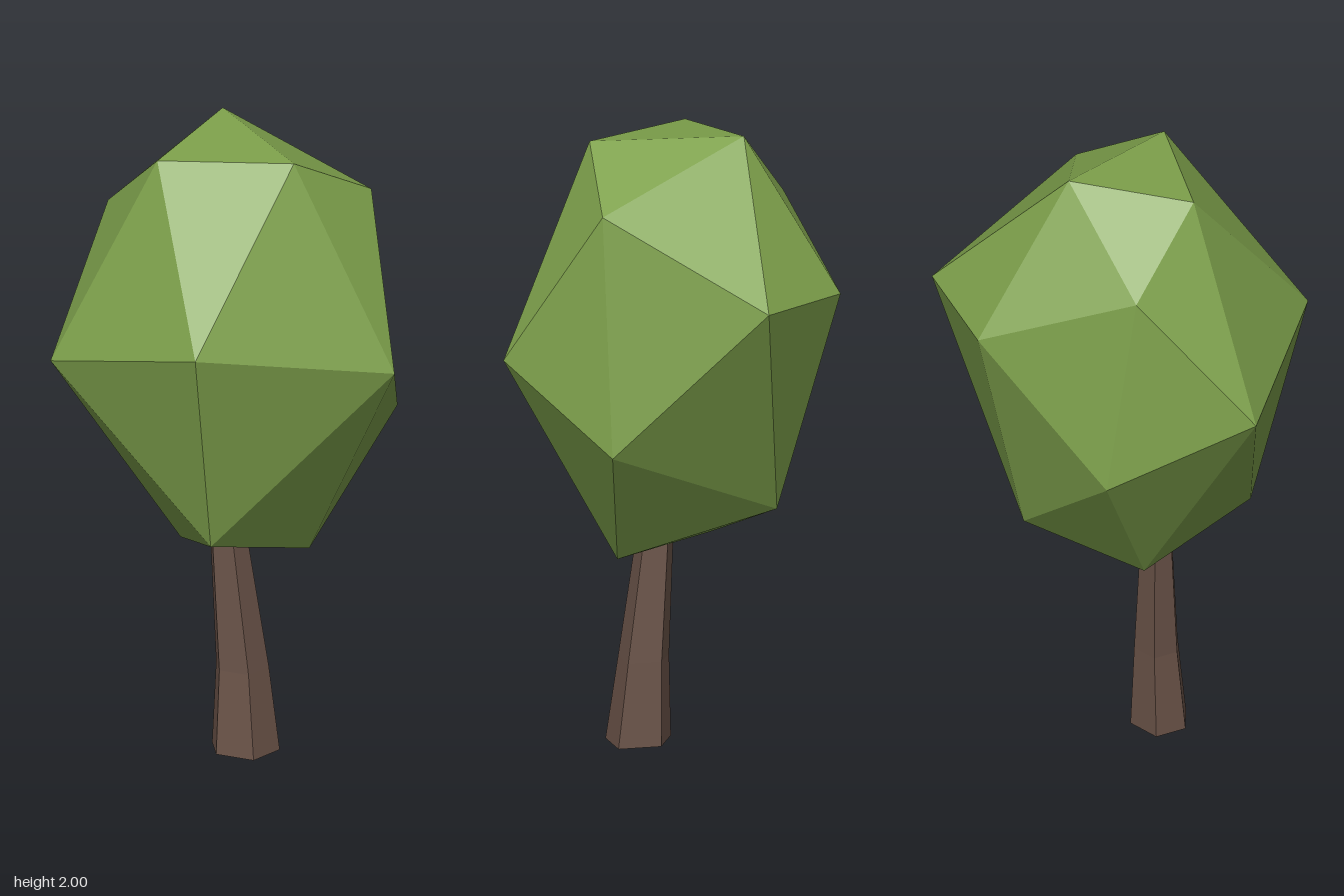
import * as THREE from 'three';
import { ConvexGeometry } from 'three/addons/geometries/ConvexGeometry.js';

// Corner points of the faceted crown, from top to bottom
const CROWN = [
  [0.1, 2, -0.21], [0.11, 1.975, 0.27], [-0.23, 1.95, 0], [0.41, 1.82, 0.205],
  [-0.25, 1.72, -0.305], [0.555, 1.56, -0.325], [0.21, 1.53, -0.52], [-0.32, 1.45, 0.45],
  [0.335, 1.325, 0.52], [-0.555, 1.31, -0.09], [-0.205, 1.09, -0.395], [0.52, 1.07, 0.165],
  [0.19, 0.82, -0.32], [-0.2, 0.77, 0.315], [0.21, 0.65, 0.175], [-0.105, 0.65, -0.09],
];

// Five-sided trunk section (x, z offsets) and its rings: centre x, y, centre z, scale
const SECTION = [[-0.013, 0.106], [0.102, 0.056], [0.062, -0.074], [-0.058, -0.094], [-0.093, 0.006]];
const RINGS = [
  [0.003, 0, 0.124, 1],
  [0.002, 0.27, 0.108, 0.78],
  [-0.025, 0.69, 0.073, 0.55],
  [-0.031, 0.78, 0.066, 0.5],
];

function trunkGeometry() {
  const n = SECTION.length;
  const positions = [];
  const indices = [];
  for (const [cx, y, cz, s] of RINGS) {
    for (const [x, z] of SECTION) positions.push(cx + x * s, y, cz + z * s);
  }
  // Side walls
  for (let r = 0; r < RINGS.length - 1; r++) {
    for (let i = 0; i < n; i++) {
      const a = r * n + i, b = r * n + (i + 1) % n;
      indices.push(a, b, b + n, a, b + n, a + n);
    }
  }
  // End caps
  const top = (RINGS.length - 1) * n;
  for (let i = 1; i < n - 1; i++) {
    indices.push(0, i + 1, i, top, top + i, top + i + 1);
  }
  const indexed = new THREE.BufferGeometry();
  indexed.setAttribute('position', new THREE.Float32BufferAttribute(positions, 3));
  indexed.setIndex(indices);
  const geometry = indexed.toNonIndexed();
  geometry.computeVertexNormals();
  return geometry;
}

function part(name, geometry, material) {
  const mesh = new THREE.Mesh(geometry, material);
  mesh.name = name;
  return mesh;
}

export function createModel() {
  const leafGreen = new THREE.MeshStandardMaterial({ color: 0x7da04b, flatShading: true });
  leafGreen.name = 'leafGreen';
  const barkBrown = new THREE.MeshStandardMaterial({ color: 0x6a5348, flatShading: true });
  barkBrown.name = 'barkBrown';

  const tree = new THREE.Group();
  tree.name = 'tree';
  const crownPoints = CROWN.map((p) => new THREE.Vector3(...p));
  tree.add(
    part('trunk', trunkGeometry(), barkBrown),
    part('crown', new ConvexGeometry(crownPoints), leafGreen),
  );
  return tree;
}
